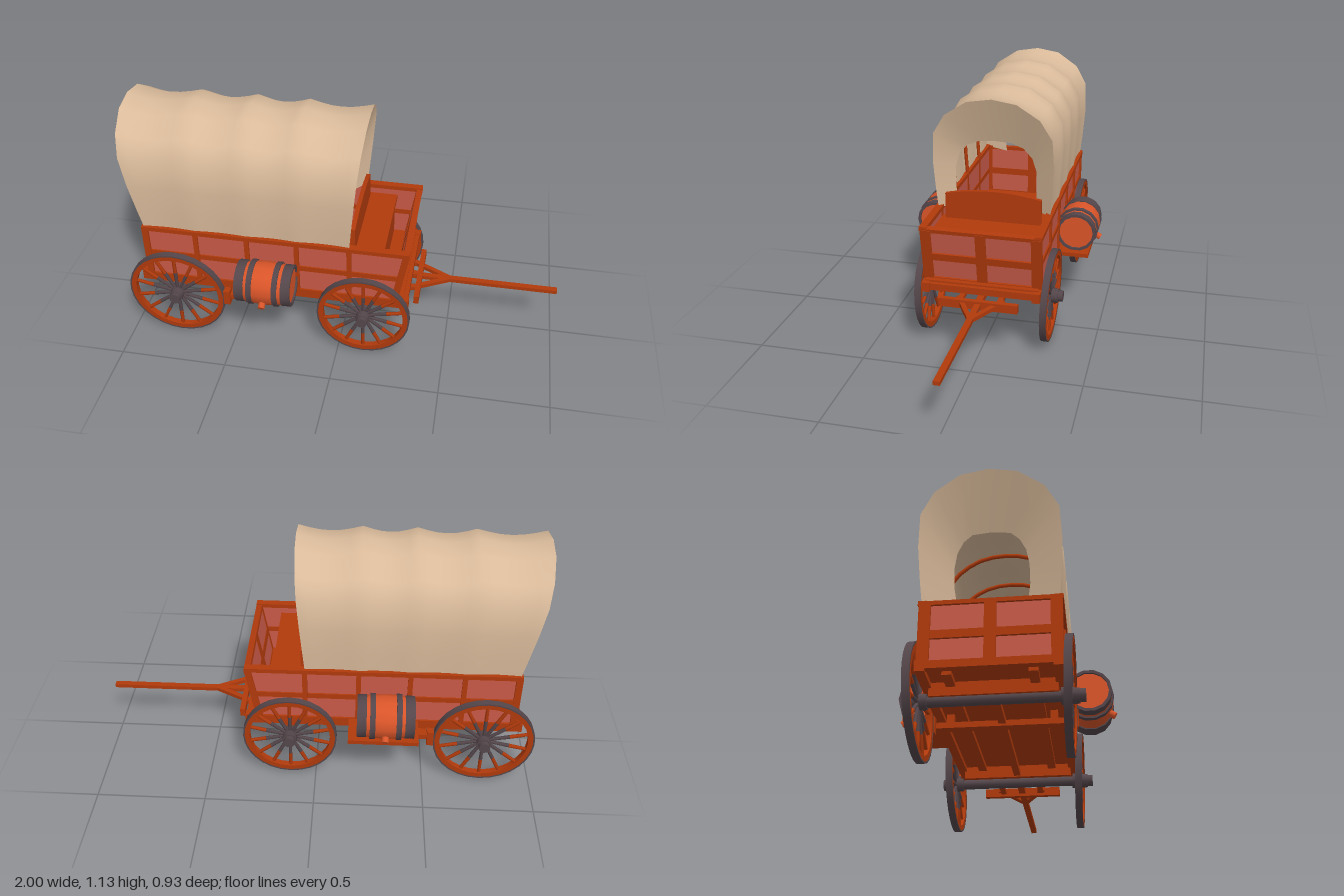
import * as THREE from 'three';
import { toCreasedNormals } from 'three/addons/utils/BufferGeometryUtils.js';

const mat = (name, color, side = THREE.FrontSide) => {
  const m = new THREE.MeshStandardMaterial({ color, side });
  m.name = name;
  return m;
};

export function createModel() {
  const wood = mat('wood', 0xb03a0c);
  const panel = mat('painted panel', 0xc85a48);
  const oak = mat('barrel oak', 0xda5529);
  const iron = mat('dark iron', 0x54464a);
  const canvas = mat('canvas', 0xdabb9b, THREE.DoubleSide);

  const model = new THREE.Group();
  model.name = 'coveredWagon';

  const add = (parent, name, geo, m, x = 0, y = 0, z = 0) => {
    const mesh = new THREE.Mesh(geo, m);
    mesh.name = name;
    mesh.position.set(x, y, z);
    parent.add(mesh);
    return mesh;
  };
  // Box given by its limits on each axis
  const box = (parent, name, m, x0, x1, y0, y1, z0, z1) =>
    add(parent, name, new THREE.BoxGeometry(x1 - x0, y1 - y0, z1 - z0), m,
      (x0 + x1) / 2, (y0 + y1) / 2, (z0 + z1) / 2);
  const group = (name, parent = model) => {
    const g = new THREE.Group();
    g.name = name;
    parent.add(g);
    return g;
  };
  const lathe = (pts, n) => toCreasedNormals(
    new THREE.LatheGeometry(pts.map(p => new THREE.Vector2(...p)), n), 0.6);
  // Ring of rectangular section around the y axis
  const ring = (r0, r1, w, n) =>
    lathe([[r1, -w / 2], [r1, w / 2], [r0, w / 2], [r0, -w / 2], [r1, -w / 2]], n);

  // Wagon bed and side walls
  const body = group('body');
  box(body, 'bed', wood, -0.92, 0.3, 0.3, 0.33, -0.26, 0.26);
  const ribX = [-0.9, -0.66, -0.42, -0.19, 0.05];
  for (const s of [-1, 1]) {
    const zr = (a, b) => (s > 0 ? [a, b] : [-b, -a]);
    const shape = new THREE.Shape([[-0.9, 0.32], [0.26, 0.32], [0.305, 0.58], [-0.9, 0.58]]
      .map(p => new THREE.Vector2(...p)));
    add(body, 'sidePanel', new THREE.ExtrudeGeometry(shape, { depth: 0.015, bevelEnabled: false }),
      panel, 0, 0, s > 0 ? 0.248 : -0.263);
    box(body, 'topRail', wood, -0.91, 0.32, 0.575, 0.595, ...zr(0.243, 0.277));
    box(body, 'middleRail', wood, -0.91, 0.285, 0.435, 0.46, ...zr(0.245, 0.27));
    box(body, 'bottomRail', wood, -0.94, 0.325, 0.28, 0.325, ...zr(0.235, 0.272));
    for (const x of ribX) box(body, 'sidePost', wood, x - 0.011, x + 0.011, 0.32, 0.58, ...zr(0.244, 0.273));
  }

  // End boards: the front one leans forward
  const endBoard = (name, x, dir, lean) => {
    const g = group(name, body);
    g.position.set(x, 0.32, 0);
    g.rotation.z = -lean;
    const xs = (a, b) => (dir > 0 ? [a, b] : [-b, -a]);
    box(g, 'endPanel', panel, ...xs(-0.015, 0), 0, 0.265, -0.255, 0.255);
    for (const [y0, y1] of [[-0.02, 0.015], [0.11, 0.145], [0.255, 0.273]])
      box(g, 'endRail', wood, ...xs(-0.018, 0.01), y0, y1, -0.268, 0.268);
    for (const z of [-0.25, 0, 0.25])
      box(g, 'endPost', wood, ...xs(-0.018, 0.012), 0, 0.265, z - 0.023, z + 0.023);
  };
  endBoard('frontBoard', 0.262, 1, 0.18);
  endBoard('tailgate', -0.9, -1, 0);
  for (const x of [-0.925, 0.305]) box(body, 'bedCrossBeam', wood, x - 0.015, x + 0.015, 0.29, 0.322, -0.27, 0.27);

  // Driver's bench with an arched backrest
  const seat = group('seat');
  box(seat, 'seatBoard', wood, 0.04, 0.2, 0.52, 0.545, -0.247, 0.247);
  box(seat, 'seatFront', wood, 0.17, 0.19, 0.33, 0.52, -0.247, 0.247);
  const back = new THREE.Shape();
  back.moveTo(-0.225, 0.53);
  back.lineTo(0.225, 0.53);
  back.lineTo(0.225, 0.665);
  back.quadraticCurveTo(0, 0.715, -0.225, 0.665);
  const backrest = add(seat, 'backrest',
    new THREE.ExtrudeGeometry(back, { depth: 0.02, bevelEnabled: false }), wood, 0.05, 0, 0);
  backrest.rotation.y = Math.PI / 2;

  // Canvas cover: half arch sections as [z, y], mirrored
  const mirror = half => [...half, ...half.slice(0, -1).reverse().map(([z, y]) => [-z, y])];
  const arch = mirror([[0.264, 0.585], [0.272, 0.68], [0.28, 0.82], [0.272, 0.955], [0.217, 1.045], [0.113, 1.112], [0, 1.13]]);
  const frontHole = mirror([[0.19, 0.585], [0.19, 0.68], [0.19, 0.78], [0.17, 0.845], [0.13, 0.89], [0.075, 0.913], [0, 0.917]]);
  const rearHole = mirror([[0.135, 0.585], [0.148, 0.68], [0.147, 0.76], [0.135, 0.82], [0.11, 0.865], [0.075, 0.893], [0, 0.9]]);
  const topX = [-1, -0.69, -0.43, -0.19, 0.1];
  const lerp = THREE.MathUtils.lerp;
  const ribAt = (i, t, y) => {
    const k = (y - 0.585) / 0.545;
    const j = Math.min(i + 1, 4);
    return lerp(lerp(ribX[i], ribX[j], t), lerp(topX[i], topX[j], t), k);
  };
  const grid = rows => {
    const n = rows[0].length, idx = [];
    for (let r = 0; r < rows.length - 1; r++)
      for (let c = 0; c < n - 1; c++) {
        const a = r * n + c, b = a + n;
        idx.push(a, b, a + 1, b, b + 1, a + 1);
      }
    const g = new THREE.BufferGeometry();
    g.setAttribute('position', new THREE.Float32BufferAttribute(rows.flat(2), 3));
    g.setIndex(idx);
    g.computeVertexNormals();
    return g;
  };
  const cover = group('cover');
  const rows = [];
  for (let k = 0; k <= 24; k++) {
    const i = Math.min(Math.floor(k / 6), 3), t = k / 6 - i;
    const sag = Math.sin(Math.PI * t);
    rows.push(arch.map(([z, y]) =>
      [ribAt(i, t, y), 0.585 + (y - 0.585) * (1 - 0.047 * sag), z * (1 - 0.025 * sag)]));
  }
  add(cover, 'canvasTop', grid(rows), canvas);
  const endCloth = (name, i, hole, depth) => add(cover, name, grid([
    hole.map(([z, y]) => [ribAt(i, 0, y) + depth, y, z]),
    arch.map(([z, y]) => [ribAt(i, 0, y), y, z])]), canvas);
  endCloth('frontCloth', 4, frontHole, -0.06);
  endCloth('rearCloth', 0, rearHole, 0.06).geometry.index.array.reverse();
  cover.children[2].geometry.computeVertexNormals();
  for (const i of [1, 2, 3]) {
    const path = new THREE.CatmullRomCurve3(arch.map(([z, y]) =>
      new THREE.Vector3(ribAt(i, 0, y), 0.585 + (y - 0.585) * 0.96, z * 0.94)));
    add(cover, 'bow', new THREE.TubeGeometry(path, 24, 0.009, 6), wood);
  }

  // Wheels, leaning slightly outward at the top
  const wheel = (x, y, r, s) => {
    const g = group('wheel');
    g.position.set(x, y, s * 0.288);
    g.rotation.x = s * 0.03;
    const turn = (name, geo, m, z = 0) => { add(g, name, geo, m, 0, 0, z).rotation.x = Math.PI / 2; };
    turn('tyre', ring(r - 0.007, r, 0.03, 28), iron);
    turn('rim', ring(r - 0.03, r - 0.006, 0.028, 28), wood);
    turn('hub', new THREE.CylinderGeometry(0.03, 0.034, 0.07, 12), iron);
    for (let i = 0; i < 14; i++) {
      const spoke = group('spoke', g);
      spoke.rotation.z = (i / 14) * Math.PI * 2;
      const mid = r * 0.52, end = r - 0.025;
      add(spoke, 'spokeInner', new THREE.CylinderGeometry(0.009, 0.007, mid - 0.02, 6), iron, 0, (mid + 0.02) / 2, 0);
      add(spoke, 'spokeOuter', new THREE.CylinderGeometry(0.008, 0.009, end - mid, 6), wood, 0, (mid + end) / 2, 0);
    }
  };
  const chassis = group('chassis');
  for (const [x, y, r] of [[-0.77, 0.235, 0.232], [0.12, 0.225, 0.217]]) {
    for (const s of [-1, 1]) {
      wheel(x, y, r, s);
      add(chassis, 'axleCap', new THREE.CylinderGeometry(0.026, 0.026, 0.05, 12), iron, x, y, s * 0.32).rotation.x = Math.PI / 2;
    }
    add(chassis, 'axle', new THREE.CylinderGeometry(0.022, 0.022, 0.62, 12), iron, x, y, 0).rotation.x = Math.PI / 2;
    box(chassis, 'bolster', wood, x - 0.03, x + 0.03, 0.245, 0.3, -0.245, 0.245);
  }
  box(chassis, 'reachBeam', wood, -0.8, 0.36, 0.25, 0.275, -0.015, 0.015);
  for (const z of [-0.16, 0.16]) box(chassis, 'bedRunner', wood, -0.9, 0.28, 0.28, 0.301, z - 0.018, z + 0.018);

  // Brake beam with a shoe behind each rear wheel
  box(chassis, 'brakeBeam', wood, -0.51, -0.47, 0.24, 0.265, -0.3, 0.3);
  for (const s of [-1, 1]) {
    box(chassis, 'brakeShoe', wood, -0.54, -0.51, 0.21, 0.285, s * 0.288 - 0.02, s * 0.288 + 0.02);
    box(chassis, 'brakeHanger', wood, -0.51, -0.48, 0.25, 0.3, s * 0.21 - 0.015, s * 0.21 + 0.015);
  }

  // Tongue, crossbar and diagonal braces
  const hitch = group('hitch');
  box(hitch, 'tongue', wood, 0.3, 1, 0.25, 0.268, -0.014, 0.014);
  box(hitch, 'crossbar', wood, 0.34, 0.364, 0.238, 0.278, -0.18, 0.18);
  for (const s of [-1, 1]) {
    const a = Math.atan2(0.1, 0.19);
    const brace = add(hitch, 'brace', new THREE.BoxGeometry(0.22, 0.018, 0.022), wood, 0.4, 0.259, s * 0.052);
    brace.rotation.y = s * a;
    box(hitch, 'hound', wood, 0.1, 0.34, 0.25, 0.268, s * 0.09 - 0.012, s * 0.09 + 0.012);
  }

  // Water barrels, one on each side
  for (const s of [-1, 1]) {
    const g = group('barrel');
    g.position.set(-0.315, 0.413, s * 0.352);
    const turn = (name, geo, m, x = 0) => { add(g, name, geo, m, x).rotation.z = -Math.PI / 2; };
    turn('staves', lathe([[0, -0.118], [0.087, -0.118], [0.096, -0.06], [0.1, 0], [0.096, 0.06], [0.087, 0.118], [0, 0.118]], 14), oak);
    for (const d of [-1, 1]) {
      turn('endHoop', ring(0.082, 0.095, 0.042, 14), iron, d * 0.106);
      turn('innerHoop', ring(0.088, 0.102, 0.024, 14), iron, d * 0.058);
    }
    const bung = add(g, 'bung', new THREE.CylinderGeometry(0.016, 0.016, 0.035, 8), oak, 0, -0.055, s * 0.09);
    bung.rotation.x = s * 2.12;
  }
  box(model, 'barrelShelf', wood, -0.465, -0.15, 0.303, 0.322, -0.42, -0.25);

  return model;
}
